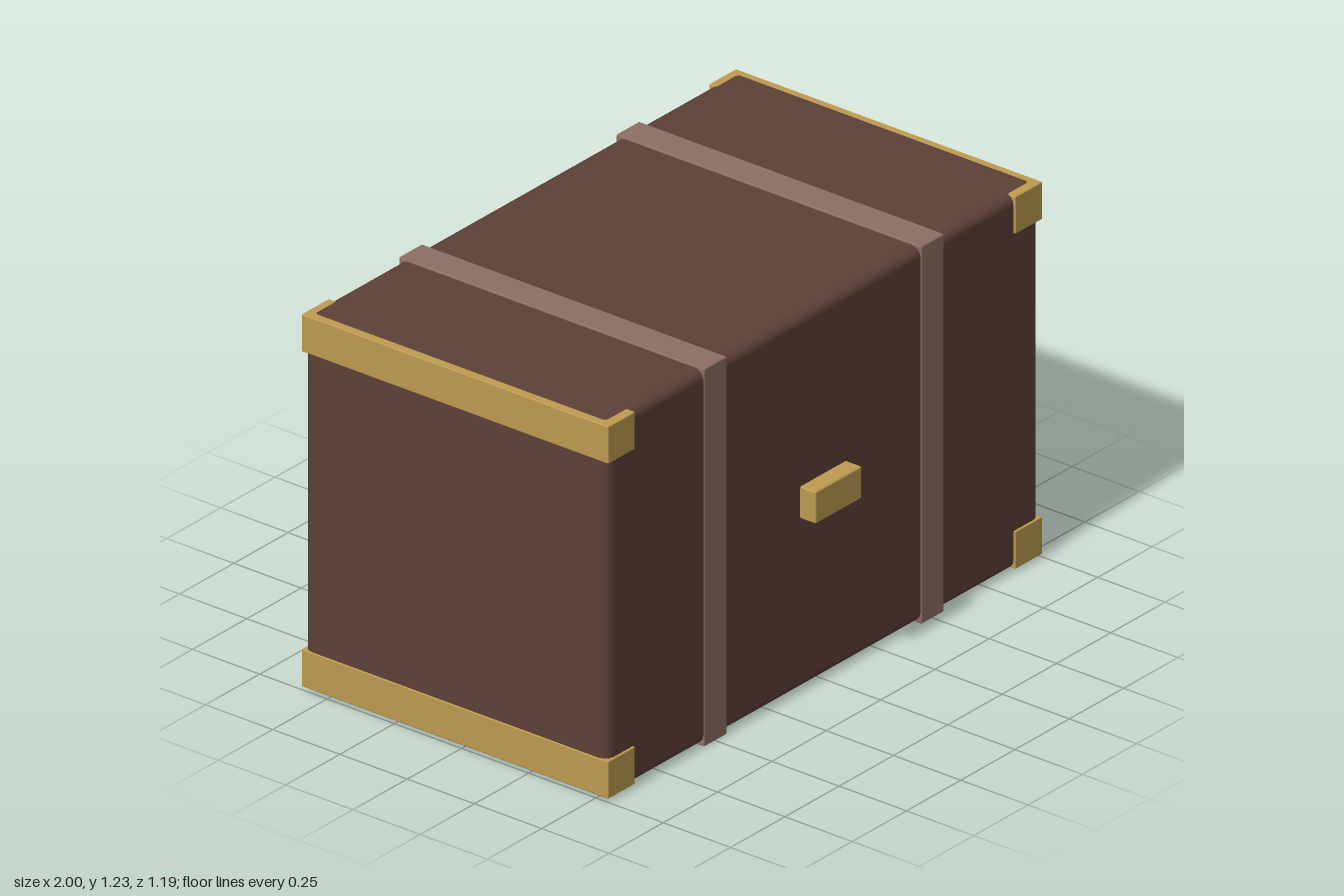
import * as THREE from 'three';
import { RoundedBoxGeometry } from 'three/addons/geometries/RoundedBoxGeometry.js';

const leather = new THREE.MeshStandardMaterial({ color: 0x5d4037 });
const strapLeather = new THREE.MeshStandardMaterial({ color: 0x8d6e63 });
const brass = new THREE.MeshStandardMaterial({ color: 0xbd9b50 });

// Box with softened edges, given by its lower and upper corners
function block(name, material, min, max, radius) {
  const size = max.map((v, i) => v - min[i]);
  const mesh = new THREE.Mesh(new RoundedBoxGeometry(...size, 2, radius), material);
  mesh.position.set(...max.map((v, i) => (v + min[i]) / 2));
  mesh.name = name;
  return mesh;
}

export function createModel() {
  const trunk = new THREE.Group();
  trunk.name = 'trunk';

  // Body
  trunk.add(block('body', leather, [-0.997, 0.006, -0.59], [0.997, 1.222, 0.538], 0.032));

  for (const [side, s] of [['left', 1], ['right', -1]]) {
    // Strap wrapped around the body
    trunk.add(block(`${side}Strap`, strapLeather,
      [s * 0.5 - 0.053, 0, -0.594], [s * 0.5 + 0.053, 1.228, 0.541], 0.005));

    // Brass edge guards, showing along the rounded edges of the body
    const x0 = s > 0 ? 0.875 : -1;
    for (const [level, y] of [['upper', 1.098], ['lower', 0.01]]) {
      trunk.add(block(`${side}${level === 'upper' ? 'Upper' : 'Lower'}Guard`, brass,
        [x0, y, -0.595], [x0 + 0.125, y + 0.122, 0.545], 0.004));
    }
  }

  // Front clasp
  trunk.add(block('clasp', brass, [-0.107, 0.563, 0.5], [0.107, 0.668, 0.595], 0.006));

  return trunk;
}
